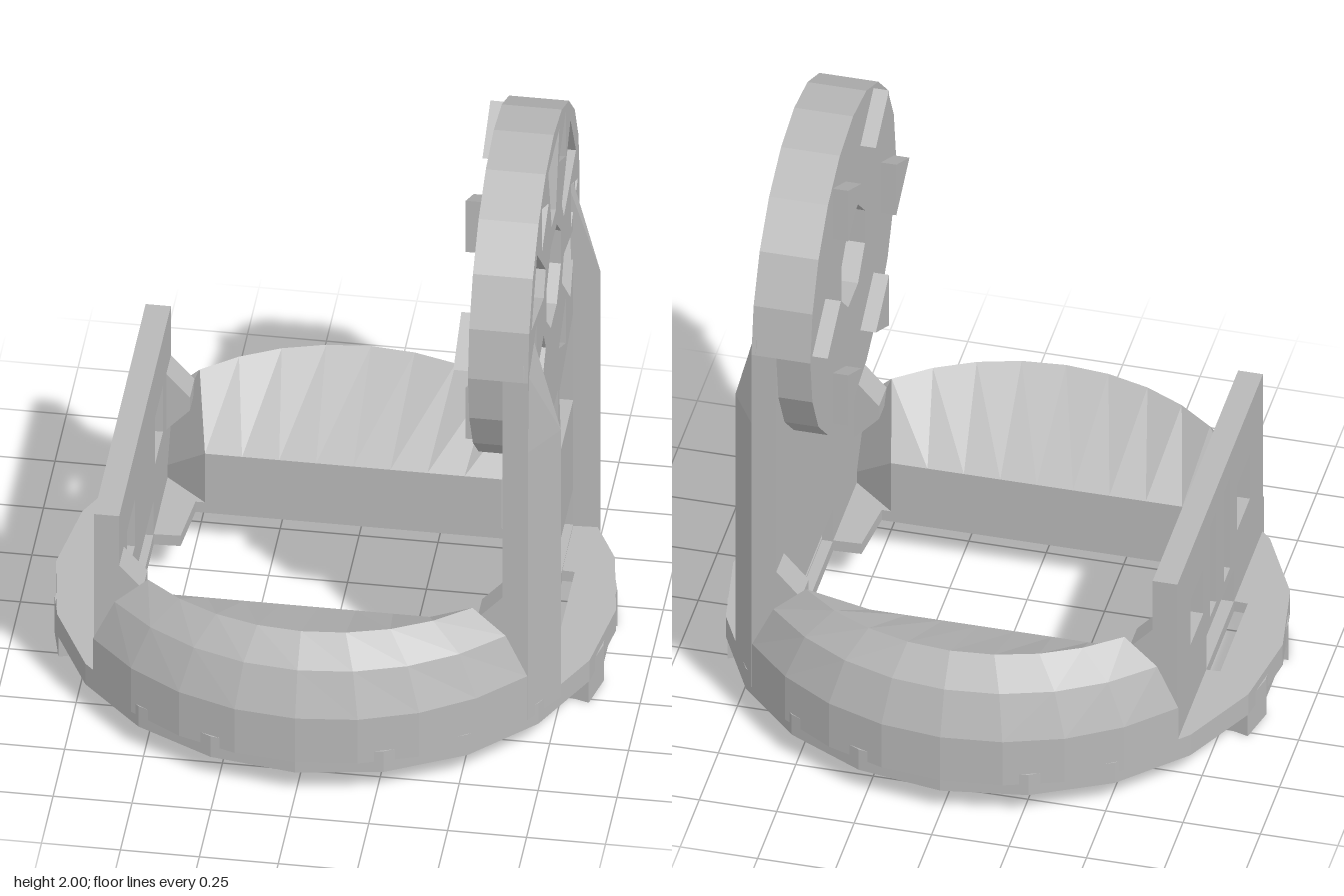
import * as THREE from 'three';

const CY = 1.45; // height of the disc centre

export function createModel() {
  const model = new THREE.Group();
  const grey = new THREE.MeshStandardMaterial({ color: 0xb8b8b8 });
  grey.name = 'grey plastic';

  const add = (name, geo) => {
    let g = geo.index ? geo.toNonIndexed() : geo;
    g.computeVertexNormals(); // non-indexed: flat facets
    const m = new THREE.Mesh(g, grey);
    m.name = name;
    model.add(m);
    return m;
  };
  const v2 = (pts) => pts.map(([a, b]) => new THREE.Vector2(a, b));
  const rect = (a0, a1, b0, b1) => [[a0, b0], [a1, b0], [a1, b1], [a0, b1]];
  const polar = (r, a, cy = 0) => [r * Math.cos(a), cy + r * Math.sin(a)];
  const circle = (r, n, cy = 0, off = 0) =>
    Array.from({ length: n }, (_, i) => polar(r, off + (i / n) * Math.PI * 2, cy));
  const extrude = (pts, holes, depth, steps = 1) => {
    const s = new THREE.Shape(v2(pts));
    s.holes = holes.map((h) => new THREE.Path(v2(h)));
    return new THREE.ExtrudeGeometry(s, { depth, steps, bevelEnabled: false });
  };
  // upright slab between two x values, outline given as (-z, y)
  const slabX = (name, pts, holes, x0, x1) =>
    add(name, extrude(pts, holes, x1 - x0).rotateY(Math.PI / 2).translate(x0, 0, 0));
  // flat slab between two heights, outline given as (x, z)
  const slabY = (name, pts, holes, y0, y1) =>
    add(name, extrude(pts, holes, y1 - y0).rotateX(Math.PI / 2).translate(0, y1, 0));

  // base ring: floor with stepped opening, and a rim below it
  const quarter = [[0.73, 0.18], [0.52, 0.19], [0.5, 0.375]];
  const opening = [
    ...quarter,
    ...quarter.map(([x, z]) => [-x, z]).reverse(),
    ...quarter.map(([x, z]) => [-x, -z]),
    ...quarter.map(([x, z]) => [x, -z]).reverse(),
  ];
  slabY('baseFloor', circle(0.887, 20), [opening], 0.13, 0.17);
  slabY('baseRim', circle(0.887, 20), [circle(0.8, 20)], 0.09, 0.135);

  // feet and the shallow lip between them, on both sides
  const sector = (a0, a1, r0, r1) => [polar(r0, a0), polar(r1, a0), polar(r1, a1), polar(r0, a1)];
  for (const side of [0, Math.PI]) {
    for (const s of [-1, 1]) {
      slabY('foot', sector(side + s * 0.165, side + s * 0.31, 0.76, 0.882), [], 0, 0.14);
    }
    slabY('footLip', sector(side - 0.165, side + 0.165, 0.8, 0.88), [], 0.06, 0.14);
  }

  // domed front and back walls, lofted along the arc
  const profile = [[0.887, 0.13], [0.887, 0.3], [0.835, 0.45], [0.76, 0.548]];
  const N = 8;
  const dome = (sign) => {
    const rings = [];
    for (let i = 0; i <= N; i++) {
      const t = i / N;
      const ring = profile.map(([r, y]) => {
        const a0 = Math.asin(0.56 / r);
        const a = a0 + (Math.PI - 2 * a0) * t;
        return [r * Math.cos(a), y, sign * r * Math.sin(a)];
      });
      const x = 0.47 * (1 - 2 * t);
      ring.push([x, 0.36, sign * 0.375], [x, 0.13, sign * 0.375]);
      rings.push(ring);
    }
    const pos = [];
    const tri = (a, b, c) => pos.push(...(sign > 0 ? [...a, ...b, ...c] : [...a, ...c, ...b]));
    const K = rings[0].length;
    for (let i = 0; i < N; i++) {
      for (let k = 0; k < K; k++) {
        const l = (k + 1) % K;
        tri(rings[i][k], rings[i + 1][l], rings[i + 1][k]);
        tri(rings[i][k], rings[i][l], rings[i + 1][l]);
      }
    }
    for (let k = 1; k < K - 1; k++) {
      tri(rings[0][0], rings[0][k + 1], rings[0][k]);
      tri(rings[N][0], rings[N][k], rings[N][k + 1]);
    }
    // orient every face outwards from the wall
    const g = new THREE.BufferGeometry();
    const p = new Float32Array(pos);
    let volume = 0;
    const [a, b, c] = [new THREE.Vector3(), new THREE.Vector3(), new THREE.Vector3()];
    for (let i = 0; i < p.length; i += 9) {
      volume += a.fromArray(p, i).dot(b.fromArray(p, i + 3).cross(c.fromArray(p, i + 6)));
    }
    if (volume < 0) {
      for (let i = 0; i < p.length; i += 9) {
        for (let j = 0; j < 3; j++) [p[i + 3 + j], p[i + 6 + j]] = [p[i + 6 + j], p[i + 3 + j]];
      }
    }
    g.setAttribute('position', new THREE.BufferAttribute(p, 3));
    return g;
  };
  add('frontDome', dome(1));
  add('backDome', dome(-1));

  // low side plate: two layers, so the centre pocket is only cut on the outside
  const plate = rect(-0.56, 0.56, 0.13, 0.785);
  const windows = [
    rect(-0.18, 0.18, 0.17, 0.3),
    rect(0.22, 0.39, 0.42, 0.6),
    rect(-0.39, -0.22, 0.42, 0.6),
  ];
  slabX('lowPlateInner', plate, windows, -0.635, -0.605);
  slabX('lowPlateOuter', plate, [...windows, rect(-0.13, -0.05, 0.34, 0.7), rect(0.05, 0.13, 0.34, 0.7)], -0.685, -0.635);

  // tall side plate with a round head
  const tower = [[-0.56, 0.13], [0.56, 0.13]];
  for (let i = 0; i <= 10; i++) tower.push(polar(0.56, (i / 10) * Math.PI, CY - 0.01));
  const bore = circle(0.168, 8, CY, Math.PI / 8);
  const triHole = (k, r) => {
    const a = (k * Math.PI) / 3;
    const [cx, cy] = polar(0.42, a, CY);
    return circle(r, 3, 0, a).map(([x, y]) => [x + cx, y + cy]);
  };
  const six = [0, 1, 2, 3, 4, 5];
  const holes = six.map((k) => triHole(k, 0.07));
  const funnels = six.map((k) => triHole(k, 0.1));
  // radial pockets between the small holes, none at the bottom
  const wedges = six.filter((k) => k !== 4).map((k) => {
    const a = Math.PI / 6 + (k * Math.PI) / 3;
    return [[0.23, -0.2], [0.5, -0.24], [0.5, 0.24], [0.23, 0.2]].map(([r, d]) => polar(r, a + d, CY));
  });
  const panelPockets = [
    rect(-0.09, 0.09, 0.35, 0.94),
    [[-0.42, 0.66], [-0.16, 0.66], [-0.12, 0.91], [-0.42, 1.0]],
    [[0.42, 0.66], [0.16, 0.66], [0.12, 0.91], [0.42, 1.0]],
    rect(-0.42, 0.42, 0.175, 0.315),
  ];
  slabX('headDisc', circle(0.56, 20, CY - 0.01), [bore, ...holes], 0.5, 0.61);
  slabX('towerBack', tower, [bore, ...holes, rect(-0.18, 0.18, 0.17, 0.3)], 0.61, 0.645);
  slabX('towerFace', tower, [bore, ...funnels, ...wedges, ...panelPockets], 0.645, 0.69);

  // raised caps around the head's inner face
  for (const k of six) slabX('headPeg', triHole(k, 0.115), [], 0.45, 0.51);

  // tapered edge ribs on the tower's outside
  for (const s of [-1, 1]) {
    const g = extrude([[0.685, s * 0.42], [0.775, s * 0.425], [0.69, s * 0.56]], [], 2, 2).rotateX(Math.PI / 2);
    const p = g.attributes.position;
    for (let i = 0; i < p.count; i++) {
      const level = Math.round(-p.getY(i));
      p.setY(i, [1.5, 1.17, 0.13][level]);
      if (level === 0) p.setX(i, 0.67 + (p.getX(i) - 0.67) * 0.2);
    }
    add('towerRib', g);
  }

  // corner gussets between plates and domes
  for (const sx of [-1, 1]) {
    for (const z of [0.46, -0.56]) {
      const g = extrude([[sx * 0.62, 0.61], [sx * 0.53, 0.51], [sx * 0.53, 0.46], [sx * 0.62, 0.36]], [], 0.1);
      add('gusset', g.translate(0, 0, z));
    }
  }
  return model;
}
